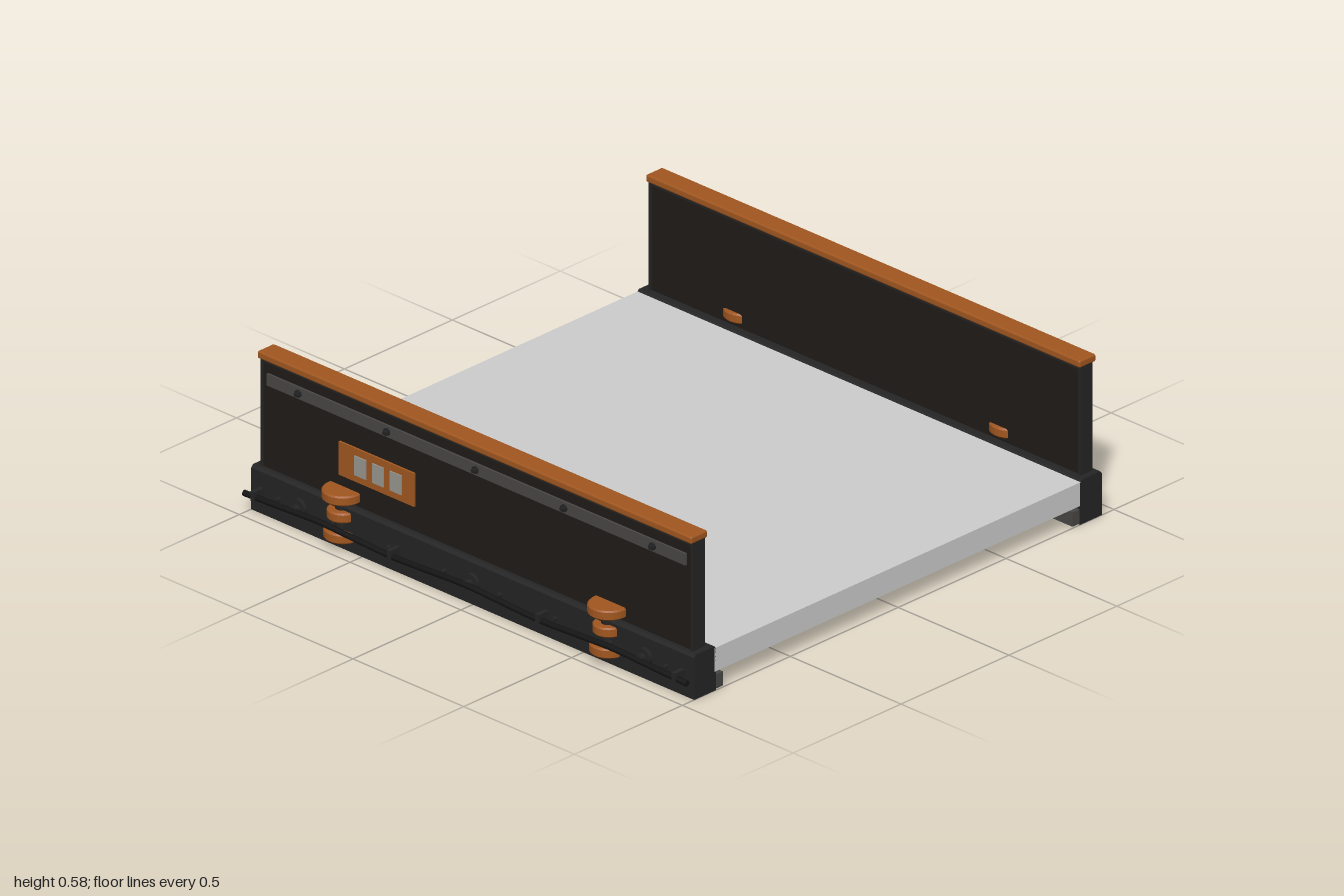
import * as THREE from 'three';
import { RoundedBoxGeometry } from 'three/addons/geometries/RoundedBoxGeometry.js';

const mat = (color) => new THREE.MeshStandardMaterial({ color });
const grey = mat(0xcccccc), dark = mat(0x242424), panel = mat(0x1f1b18);
const steel = mat(0x484644), copper = mat(0xa0561f), glass = mat(0x98968e), black = mat(0x141414);

function add(parent, name, geometry, material, x = 0, y = 0, z = 0) {
  const mesh = new THREE.Mesh(geometry, material);
  mesh.name = name;
  mesh.position.set(x, y, z);
  parent.add(mesh);
  return mesh;
}

// Box given by its limits on each axis
function box(parent, name, material, [x0, x1], [y0, y1], [z0, z1]) {
  return add(parent, name, new THREE.BoxGeometry(x1 - x0, y1 - y0, z1 - z0), material,
    (x0 + x1) / 2, (y0 + y1) / 2, (z0 + z1) / 2);
}

// Round stud whose axis points along x, from x0 to x1
function stud(parent, name, material, r, x0, x1, y, z, sides = 12) {
  const g = new THREE.CylinderGeometry(r, r, x1 - x0, sides).rotateZ(Math.PI / 2);
  return add(parent, name, g, material, (x0 + x1) / 2, y, z);
}

// Coil disc with slightly rounded rims
function disc(parent, r, y, z) {
  const h = 0.0175, b = 0.005;
  const profile = [[0, -h], [r - b, -h], [r, -h + b], [r, h - b], [r - b, h], [0, h]]
    .map(([a, c]) => new THREE.Vector2(a, c));
  const g = new THREE.LatheGeometry(profile, 32).toNonIndexed();
  g.computeVertexNormals();
  add(parent, 'coilDisc', g, copper, 0.93, y, z);
}

// One side wall; sign +1 is the +x side, -1 turns every part to the other side
function createSide(sign) {
  const side = new THREE.Group();
  side.name = sign > 0 ? 'leftSide' : 'rightSide';

  // Base beam with a bevelled top, and the inner ledge under the deck
  const s = new THREE.Shape([[0.843, 0], [0.945, 0], [0.945, 0.15], [0.937, 0.16], [0.851, 0.16], [0.843, 0.15]]
    .map(([x, y]) => new THREE.Vector2(x, y)));
  const beam = new THREE.ExtrudeGeometry(s, { depth: 2, bevelEnabled: false });
  add(side, 'baseBeam', beam, dark, 0, 0, -1);
  box(side, 'innerLedge', steel, [0.81, 0.845], [0.004, 0.055], [-0.998, 0.998]);

  // Wall panel with frame posts and rails
  box(side, 'wallPanel', panel, [0.875, 0.922], [0.155, 0.552], [-0.972, 0.972]);
  for (const z of [-0.97, 0.97])
    box(side, 'endPost', dark, [0.871, 0.926], [0.155, 0.552], [z - 0.006, z + 0.006]);
  box(side, 'topRail', dark, [0.871, 0.926], [0.538, 0.552], [-0.975, 0.975]);
  add(side, 'handrail', new RoundedBoxGeometry(0.077, 0.027, 1.96, 2, 0.007), copper, 0.9, 0.5625, 0);

  // Riveted strip along the top of the wall
  box(side, 'rivetStrip', steel, [0.92, 0.93], [0.46, 0.502], [-0.945, 0.945]);
  for (const z of [-0.8, -0.4, 0, 0.4, 0.8]) {
    stud(side, 'stripWasher', dark, 0.013, 0.928, 0.938, 0.481, z);
    stud(side, 'stripRivet', dark, 0.008, 0.93, 0.947, 0.481, z, 6);
  }

  // Indicator plate with three windows
  box(side, 'indicatorPlate', copper, [0.92, 0.93], [0.25, 0.37], [-0.62, -0.28]);
  for (const z of [-0.36, -0.44, -0.52])
    box(side, 'indicatorWindow', glass, [0.925, 0.934], [0.275, 0.345], [z - 0.026, z + 0.026]);

  // Stacks of coil discs
  for (const z of [-0.6, 0.6]) {
    disc(side, 0.07, 0.192, z);
    disc(side, 0.053, 0.122, z);
    disc(side, 0.064, 0.052, z);
    add(side, 'coilCore', new THREE.CylinderGeometry(0.022, 0.022, 0.15, 16), dark, 0.935, 0.115, z);
  }

  // Large bolts, small rivets on the beam and rivets on the ledge
  for (const z of [-0.78, 0, 0.78]) {
    stud(side, 'boltFlange', dark, 0.032, 0.94, 0.958, 0.082, z, 20);
    stud(side, 'boltHead', dark, 0.017, 0.95, 0.978, 0.082, z, 6);
  }
  for (let i = 0; i < 8; i++) {
    const z = -0.875 + i * 0.25;
    stud(side, 'beamRivet', dark, 0.008, 0.94, 0.96, 0.08, z, 8);
    stud(side, 'ledgeRivet', dark, 0.008, 0.804, 0.815, 0.03, z, 8);
  }

  // Mirror by moving vertices and swapping the winding
  if (sign < 0) side.children.forEach((m) => {
    m.position.x *= -1;
    const g = m.geometry = m.geometry.index ? m.geometry.toNonIndexed() : m.geometry;
    g.scale(-1, 1, 1);
    for (const a of [g.attributes.position, g.attributes.normal]) {
      const p = new THREE.Vector3(), q = new THREE.Vector3();
      for (let i = 0; i < a.count; i += 3) {
        p.fromBufferAttribute(a, i + 1);
        q.fromBufferAttribute(a, i + 2);
        a.setXYZ(i + 1, q.x, q.y, q.z);
        a.setXYZ(i + 2, p.x, p.y, p.z);
      }
    }
  });
  return side;
}

export function createModel() {
  const model = new THREE.Group();
  model.name = 'bridgeSection';

  box(model, 'deck', grey, [-0.85, 0.85], [0.068, 0.153], [-1, 1]);
  model.add(createSide(1), createSide(-1));

  // Cable slung along the -x beam, with clips
  const points = [];
  for (let i = 0; i <= 12; i++) {
    const z = -1 + i / 6;
    points.push(new THREE.Vector3(-0.977, 0.082 - 0.012 * Math.sin(Math.PI * z * 1.5) ** 2, z));
  }
  const cable = new THREE.TubeGeometry(new THREE.CatmullRomCurve3(points), 60, 0.011, 10);
  add(model, 'cable', cable, black);
  for (const z of [-0.95, -0.335, 0.335, 0.95])
    box(model, 'cableClip', dark, [-0.991, -0.94], [0.06, 0.096], [z - 0.008, z + 0.008]);
  for (const z of [-0.999, 0.999])
    add(model, 'cableEnd', new THREE.CircleGeometry(0.011, 10).rotateY(z < 0 ? Math.PI : 0), black, -0.977, 0.082 - 0.012, z);
  return model;
}
